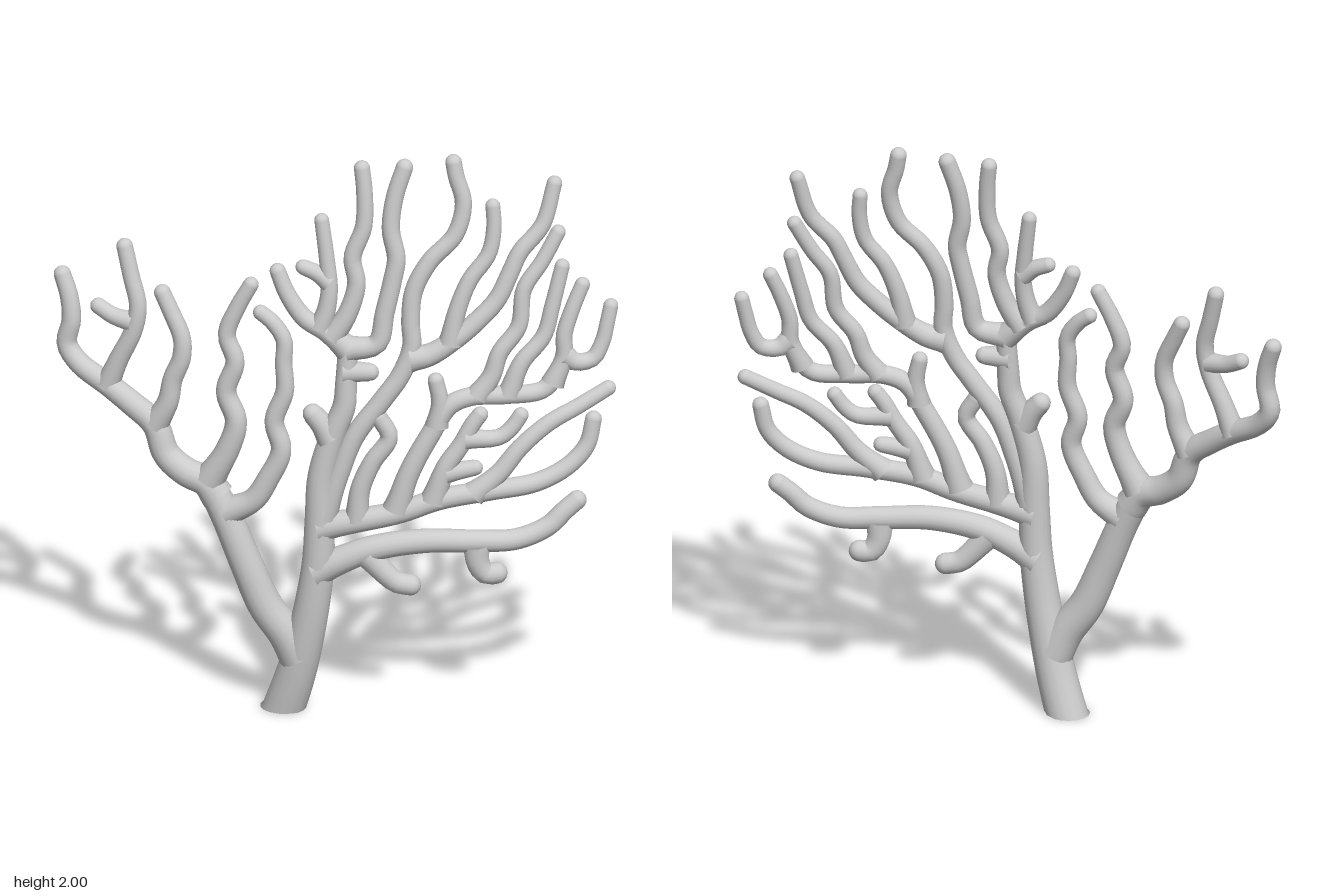
import * as THREE from 'three';
import { mergeGeometries } from 'three/addons/utils/BufferGeometryUtils.js';

const material = new THREE.MeshStandardMaterial({ color: 0xcccccc });

// The fan is bowed: depth falls away from the middle towards every rim
function depth(x, y) {
  const dy = y - 0.6;
  return 0.125 - 0.22 * (x + 0.15) ** 2 - (dy < 0 ? 0.13 : 0.05) * dy * dy;
}

// Tapered round-tipped branch through [x, y] points; flare swells its root
function branch(name, r0, r1, points, flare = 0.35) {
  const curve = new THREE.CatmullRomCurve3(
    points.map(([x, y]) => new THREE.Vector3(x, y, depth(x, y))));
  const length = curve.getLength();
  const rings = Math.max(8, Math.round(length / 0.022));
  const sides = 16;
  const tube = new THREE.TubeGeometry(curve, rings, 1, sides, false);
  const pos = tube.attributes.position;
  const v = new THREE.Vector3();
  for (let i = 0; i <= rings; i++) {
    const t = i / rings;
    const centre = curve.getPointAt(t);
    const r = (r1 + (r0 - r1) * (1 - t)) * (1 + flare * Math.exp(-t * length / 0.05));
    for (let j = 0; j <= sides; j++) {
      const k = i * (sides + 1) + j;
      v.fromBufferAttribute(pos, k).sub(centre).multiplyScalar(r).add(centre);
      pos.setXYZ(k, v.x, Math.max(v.y, 0), v.z);
    }
  }
  const end = points[points.length - 1];
  const tip = new THREE.SphereGeometry(r1, 16, 12).translate(end[0], end[1], depth(...end));
  const mesh = new THREE.Mesh(mergeGeometries([tube, tip]), material);
  mesh.name = name;
  return mesh;
}

// Main stem and the large left limb
const limbs = [
  ['trunk', 0.072, 0.033, [[-0.155, -0.04], [-0.1, 0.13], [-0.07, 0.25], [-0.04, 0.4], [-0.02, 0.55],
    [-0.015, 0.7], [-0.01, 0.86], [0.03, 1.02], [0.065, 1.12], [0.07, 1.2], [0.075, 1.33]], 0],
  ['leftLimb', 0.062, 0.05, [[-0.09, 0.2], [-0.13, 0.28], [-0.2, 0.38], [-0.26, 0.52], [-0.33, 0.69],
    [-0.38, 0.79]], 0.1],
  ['leftLimbEnd', 0.052, 0.029, [[-0.36, 0.76], [-0.4, 0.81], [-0.47, 0.835], [-0.54, 0.89], [-0.58, 0.99],
    [-0.66, 1.05], [-0.74, 1.1], [-0.85, 1.16], [-0.895, 1.22], [-0.88, 1.31], [-0.89, 1.39], [-0.915, 1.46]], 0.1],
];

// Twigs on the left limb
const leftTwigs = [
  [0.033, 0.028, [[-0.75, 1.1], [-0.71, 1.2], [-0.66, 1.31], [-0.645, 1.4], [-0.67, 1.5], [-0.695, 1.6]]],
  [0.027, 0.027, [[-0.66, 1.34], [-0.73, 1.35], [-0.785, 1.375]]],
  [0.036, 0.028, [[-0.58, 0.99], [-0.535, 1.08], [-0.52, 1.16], [-0.49, 1.24], [-0.49, 1.31], [-0.53, 1.4],
    [-0.56, 1.46]]],
  [0.042, 0.026, [[-0.39, 0.82], [-0.325, 0.94], [-0.3, 1.04], [-0.335, 1.14], [-0.305, 1.25], [-0.335, 1.34],
    [-0.3, 1.44], [-0.255, 1.525]]],
  [0.04, 0.026, [[-0.33, 0.71], [-0.24, 0.76], [-0.19, 0.84], [-0.145, 0.95], [-0.17, 1.05], [-0.135, 1.16],
    [-0.14, 1.26], [-0.14, 1.34], [-0.18, 1.4], [-0.22, 1.43]]],
];

// Crown at the top of the trunk
const crownTwigs = [
  [0.034, 0.029, [[0.07, 1.32], [0.17, 1.34], [0.195, 1.45], [0.22, 1.57], [0.23, 1.64], [0.21, 1.74],
    [0.22, 1.85], [0.25, 1.955]]],
  [0.035, 0.027, [[0.075, 1.32], [0.0, 1.38], [-0.07, 1.42], [-0.13, 1.5], [-0.165, 1.58]]],
  [0.03, 0.025, [[-0.02, 1.39], [0.0, 1.45], [0.01, 1.53], [0.0, 1.63], [-0.02, 1.765]]],
  [0.026, 0.025, [[0.01, 1.55], [-0.03, 1.58], [-0.08, 1.6]]],
  [0.033, 0.027, [[0.02, 1.36], [0.07, 1.44], [0.1, 1.55], [0.085, 1.64], [0.12, 1.75], [0.12, 1.87], [0.11, 1.95]]],
  [0.032, 0.029, [[0.06, 1.24], [0.15, 1.24]]],
  [0.036, 0.034, [[0.02, 1.0], [-0.01, 1.05], [-0.04, 1.085]]],
];

// Tall inner branches
const innerTwigs = [
  [0.036, 0.028, [[0.0, 0.72], [0.05, 0.88], [0.1, 1.01], [0.19, 1.14], [0.25, 1.23], [0.285, 1.33], [0.28, 1.42],
    [0.29, 1.53], [0.34, 1.63], [0.42, 1.72], [0.445, 1.83], [0.42, 1.92], [0.41, 1.97]]],
  [0.036, 0.026, [[0.28, 1.29], [0.34, 1.3], [0.42, 1.35], [0.5, 1.42], [0.56, 1.49], [0.6, 1.58], [0.63, 1.65],
    [0.7, 1.74], [0.735, 1.88]]],
  [0.031, 0.025, [[0.41, 1.34], [0.43, 1.45], [0.47, 1.56], [0.53, 1.65], [0.545, 1.74], [0.54, 1.815]]],
  [0.034, 0.029, [[0.11, 0.71], [0.12, 0.82], [0.16, 0.92], [0.215, 1.01], [0.18, 1.08]]],
];

// Right-hand comb of upright twigs
const combTwigs = [
  [0.036, 0.03, [[0.24, 0.75], [0.28, 0.88], [0.35, 1.02], [0.41, 1.12], [0.48, 1.15], [0.59, 1.15], [0.71, 1.16],
    [0.76, 1.22]]],
  [0.03, 0.027, [[0.37, 1.05], [0.38, 1.13], [0.365, 1.21]]],
  [0.031, 0.025, [[0.5, 1.15], [0.545, 1.22], [0.57, 1.3], [0.63, 1.39], [0.645, 1.52], [0.7, 1.61], [0.75, 1.71]]],
  [0.03, 0.025, [[0.6, 1.15], [0.64, 1.26], [0.71, 1.35], [0.735, 1.45], [0.765, 1.59]]],
  [0.03, 0.025, [[0.74, 1.18], [0.775, 1.27], [0.775, 1.35], [0.8, 1.44], [0.83, 1.52]]],
  [0.028, 0.025, [[0.775, 1.28], [0.81, 1.25], [0.865, 1.255], [0.895, 1.31], [0.91, 1.38], [0.92, 1.435]]],
];

// Low sideways branches with their twigs and knobs
const lowTwigs = [
  [0.042, 0.028, [[-0.02, 0.68], [0.12, 0.71], [0.25, 0.74], [0.38, 0.785], [0.54, 0.81], [0.69, 0.83], [0.79, 0.88],
    [0.85, 0.95], [0.87, 1.04]]],
  [0.033, 0.026, [[0.49, 0.8], [0.57, 0.87], [0.64, 0.96], [0.73, 1.04], [0.82, 1.09], [0.915, 1.145]]],
  [0.035, 0.027, [[0.36, 0.78], [0.4, 0.9], [0.45, 0.98], [0.485, 1.05], [0.51, 1.085]]],
  [0.028, 0.026, [[0.46, 1.0], [0.57, 1.0], [0.61, 1.03], [0.64, 1.075]]],
  [0.028, 0.026, [[0.4, 0.88], [0.495, 0.895]]],
  [0.047, 0.032, [[-0.03, 0.52], [0.06, 0.565], [0.17, 0.61], [0.33, 0.635], [0.5, 0.63], [0.63, 0.63], [0.73, 0.67],
    [0.78, 0.72], [0.82, 0.755]]],
  [0.036, 0.036, [[0.14, 0.59], [0.2, 0.52], [0.24, 0.485], [0.285, 0.475]]],
  [0.036, 0.036, [[0.5, 0.62], [0.505, 0.55], [0.53, 0.51], [0.565, 0.51]]],
];

export function createModel() {
  const model = new THREE.Group();
  model.name = 'branchingCoral';
  for (const limb of limbs) model.add(branch(...limb));

  const clusters = {
    leftTwig: leftTwigs, crownTwig: crownTwigs, innerTwig: innerTwigs, combTwig: combTwigs, lowBranch: lowTwigs,
  };
  for (const [name, twigs] of Object.entries(clusters)) {
    const group = new THREE.Group();
    group.name = name + 'Cluster';
    twigs.forEach((twig, i) => group.add(branch(name + (i + 1), ...twig)));
    model.add(group);
  }

  // Flat underside of the trunk
  const foot = new THREE.Mesh(new THREE.CircleGeometry(0.068, 24).rotateX(Math.PI / 2), material);
  foot.name = 'trunkFoot';
  foot.position.set(-0.14, 0.001, depth(-0.14, 0));
  model.add(foot);
  return model;
}
